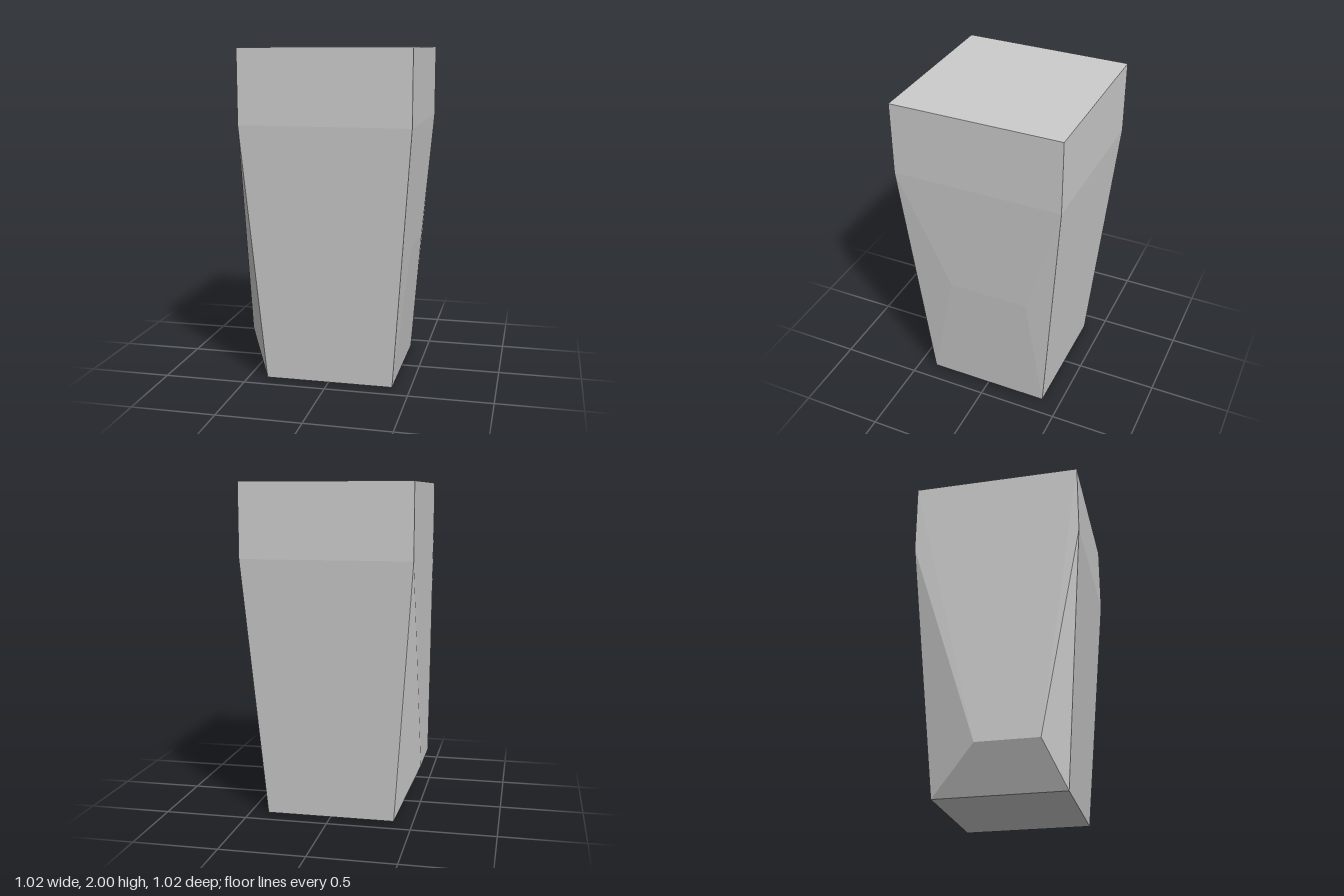
import * as THREE from 'three';
import { ConvexGeometry } from 'three/addons/geometries/ConvexGeometry.js';

// Four corners of a horizontal section
function section(y, xMin, xMax, zMin, zMax) {
  return [[xMin, zMin], [xMax, zMin], [xMax, zMax], [xMin, zMax]]
    .map(([x, z]) => new THREE.Vector3(x, y, z));
}

// Two ends of a ridge that swells one side face
function ridge(x, y, zBack, zFront) {
  return [zBack, zFront].map((z) => new THREE.Vector3(x, y, z));
}

export function createModel() {
  const group = new THREE.Group();
  group.name = 'taperedBlock';

  const points = [
    ...section(2, -0.503, 0.508, -0.512, 0.51), // top
    ...section(1.56, -0.503, 0.508, -0.512, 0.51), // end of the straight band
    ...section(0, -0.385, 0.39, -0.383, 0.39), // foot
    ...ridge(-0.512, 0.27, -0.11, 0.265), // low bulge on the -x side
    ...ridge(0.464, 0.81, -0.29, 0.2), // slight bulge on the +x side
  ];

  const material = new THREE.MeshStandardMaterial({ color: 0xcccccc, flatShading: true });
  const body = new THREE.Mesh(new ConvexGeometry(points), material);
  body.name = 'body';
  group.add(body);
  return group;
}
